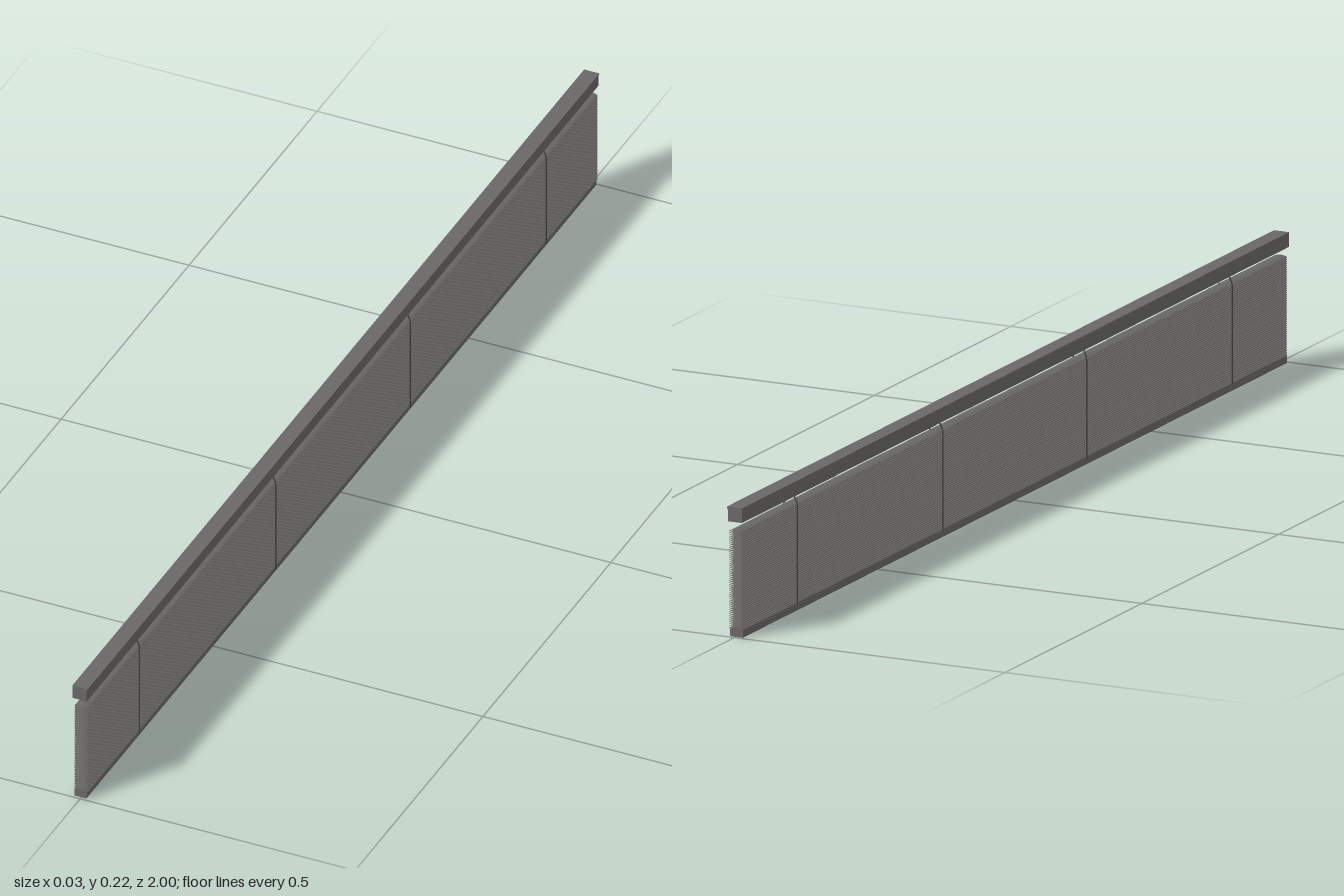
import * as THREE from 'three';

export function createModel() {
  const model = new THREE.Group();
  model.name = 'venetianBlind';
  const grey = new THREE.MeshStandardMaterial({ name: 'warm grey', color: 0x6a6866 });
  const dark = new THREE.MeshStandardMaterial({ name: 'dark cord', color: 0x454341 });

  // Runs an x/y cross-section along z, centred on z = 0
  function profile(name, points, length) {
    const shape = new THREE.Shape(points.map(([x, y]) => new THREE.Vector2(x, y)));
    const geometry = new THREE.ExtrudeGeometry(shape, { depth: length, bevelEnabled: false });
    geometry.translate(0, 0, -length / 2);
    const mesh = new THREE.Mesh(geometry, grey);
    mesh.name = name;
    return mesh;
  }

  // Head rail with a slightly overhanging lip on one side
  model.add(profile('headRail', [
    [-0.014, 0.2], [0.012, 0.2], [0.012, 0.219], [0.014, 0.225], [-0.014, 0.225],
  ], 2));

  // Bottom rail with a gently sloped underside
  model.add(profile('bottomRail', [
    [-0.013, 0.003], [0.009, 0.003], [0.0105, 0.006], [0.0105, 0.016],
    [0.005, 0.018], [-0.008, 0.018], [-0.013, 0.016],
  ], 1.99));

  // Stack of thin arched slats
  const slats = new THREE.Group();
  slats.name = 'slats';
  const halfWidth = 0.012, arch = 0.003, thickness = 0.0009, steps = 6;
  const upper = [], lower = [];
  for (let i = 0; i <= steps; i++) {
    const t = (i / steps) * 2 - 1;
    const y = arch * (1 - t * t);
    lower.push([t * halfWidth, y]);
    upper.unshift([t * halfWidth, y + thickness]);
  }
  const slat = profile('slat', [...lower, ...upper], 1.994);
  const count = 48, bottom = 0.0165, top = 0.182;
  for (let i = 0; i < count; i++) {
    const copy = slat.clone();
    copy.name = 'slat' + (i + 1);
    copy.position.y = bottom + ((top - bottom) * i) / (count - 1);
    slats.add(copy);
  }
  model.add(slats);

  // Ladder cords down both edges, drawn inward under the head rail
  for (const z of [-0.795, -0.263, 0.263, 0.795]) {
    const ladder = new THREE.Group();
    ladder.name = 'ladderCord';
    for (const side of [-1, 1]) {
      const path = new THREE.CurvePath();
      const points = [[0.005, 0.201], [0.0125, 0.185], [0.0125, 0.012]]
        .map(([x, y]) => new THREE.Vector3(side * x, y, z));
      path.add(new THREE.LineCurve3(points[0], points[1]));
      path.add(new THREE.LineCurve3(points[1], points[2]));
      const cord = new THREE.Mesh(new THREE.TubeGeometry(path, 24, 0.0012, 6), dark);
      cord.name = side < 0 ? 'rightCord' : 'leftCord';
      ladder.add(cord);
    }
    model.add(ladder);
  }
  return model;
}
